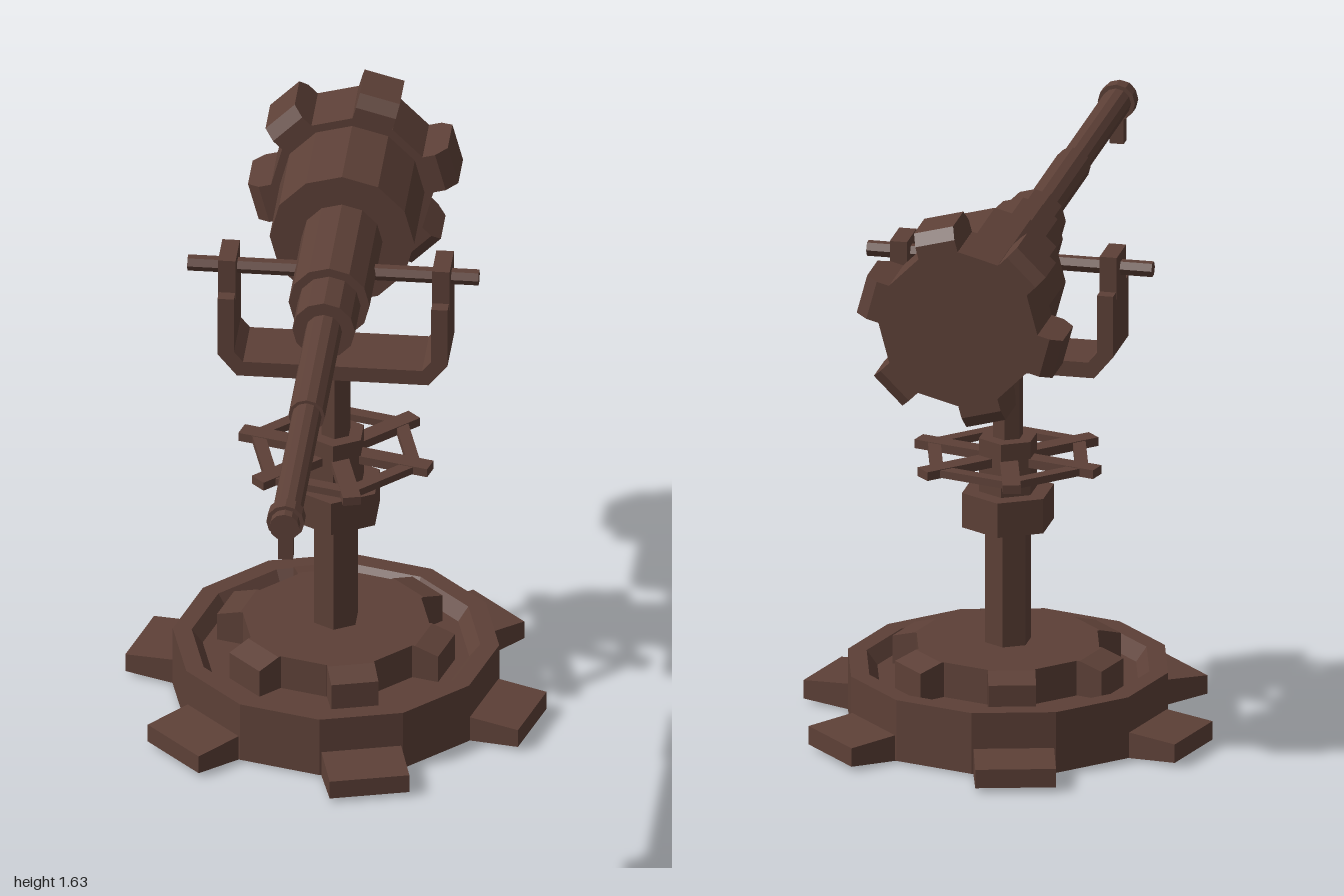
import * as THREE from 'three';

const brown = new THREE.MeshStandardMaterial({ color: 0x5d4037, flatShading: true });
brown.name = 'brown metal';
const AXIS_Z = -0.39; // the pedestal stands towards the back
const GUN_Y = 1.342;  // height of the barrel axis

function add(parent, name, geometry, x = 0, y = 0, z = 0) {
  const mesh = new THREE.Mesh(geometry, brown);
  mesh.name = name;
  mesh.position.set(x, y, z);
  parent.add(mesh);
  return mesh;
}

// Upright cylinder between two heights
function post(parent, name, radius, y0, y1, sides) {
  return add(parent, name, new THREE.CylinderGeometry(radius, radius, y1 - y0, sides), 0, (y0 + y1) / 2, 0);
}

// Outline extruded along z, centred
function slab(points, depth) {
  const shape = new THREE.Shape(points.map(([x, y]) => new THREE.Vector2(x, y)));
  return new THREE.ExtrudeGeometry(shape, { depth, bevelEnabled: false }).translate(0, 0, -depth / 2);
}

// Six copies around the y axis of a profile given as (radius, height)
function sixAround(parent, name, profile, width, startDegrees) {
  const geometry = slab(profile, width);
  for (let i = 0; i < 6; i++) {
    add(parent, name, geometry).rotation.y = THREE.MathUtils.degToRad(startDegrees + i * 60);
  }
}

function createBase() {
  const base = new THREE.Group();
  base.name = 'base';
  // Dished twelve-sided drum
  const rim = [[0, 0.005], [0.447, 0.005], [0.447, 0.18], [0.395, 0.18], [0.365, 0.14], [0, 0.14]];
  add(base, 'baseDrum', new THREE.LatheGeometry(rim.map(([r, y]) => new THREE.Vector2(r, y)), 12));
  sixAround(base, 'baseTooth', [[0.38, 0], [0.572, 0.012], [0.572, 0.065], [0.43, 0.077], [0.38, 0.077]], 0.22, -15);
  // Inner gear
  post(base, 'innerGear', 0.255, 0.13, 0.24, 12);
  sixAround(base, 'innerGearTooth', [[0.2, 0.13], [0.322, 0.13], [0.322, 0.22], [0.255, 0.24], [0.2, 0.24]], 0.13, -15);
  return base;
}

function createPedestal() {
  const pedestal = new THREE.Group();
  pedestal.name = 'pedestal';
  post(pedestal, 'lowerColumn', 0.065, 0.2, 0.58, 6);
  post(pedestal, 'collar', 0.131, 0.578, 0.677, 6);
  post(pedestal, 'neck', 0.083, 0.677, 0.83, 6);
  post(pedestal, 'upperPost', 0.043, 0.83, 1.06, 6);

  // Hand wheel: six spokes joined by a hexagonal rim
  sixAround(pedestal, 'wheelSpoke', [[0.03, 0.756], [0.275, 0.756], [0.275, 0.781], [0.03, 0.781]], 0.05, -15);
  sixAround(pedestal, 'wheelRim', [[0.18, 0.758], [0.215, 0.758], [0.215, 0.779], [0.18, 0.779]], 0.235, 15);
  return pedestal;
}

function createYoke() {
  const yoke = new THREE.Group();
  yoke.name = 'yoke';
  const right = [[0.245, 1.09], [0.27, 1.12], [0.27, 1.285], [0.315, 1.285], [0.315, 1.11], [0.262, 1.046]];
  const left = right.map(([x, y]) => [-x, y]).reverse();
  add(yoke, 'yokeFork', slab([...right, ...left], 0.187));
  for (const side of [-1, 1]) {
    add(yoke, 'axleLug', new THREE.BoxGeometry(0.048, 0.12, 0.115), side * 0.293, 1.325, 0);
  }
  add(yoke, 'axle', new THREE.CylinderGeometry(0.022, 0.022, 0.797, 6).rotateZ(Math.PI / 2), -0.007, 1.34, 0);
  return yoke;
}

function createGun() {
  // Built upright, then turned so that +y points forwards
  const gun = new THREE.Group();
  gun.name = 'gun';
  const sections = [
    ['barrelTip', 0.041, 0.39, 1.0],
    ['barrel', 0.05, -0.07, 0.4],
    ['barrelSleeve', 0.086, -0.21, -0.06],
    ['receiver', 0.111, -0.56, -0.205],
    ['breech', 0.198, -0.84, -0.55],
    ['muzzleRing', 0.052, 0.93, 0.972],
  ];
  for (const [name, radius, z0, z1] of sections) post(gun, name, radius, z0, z1, 12);

  // Toothed rear wheel
  post(gun, 'rearWheel', 0.222, -1, -0.825, 12);
  sixAround(gun, 'rearWheelTooth', [
    [0.15, -1], [0.25, -1], [0.283, -0.978], [0.283, -0.852], [0.25, -0.825], [0.15, -0.825],
  ], 0.113, 15);

  // Block hanging under the muzzle
  add(gun, 'muzzleBlock', new THREE.BoxGeometry(0.04, 0.036, 0.09), 0, 0.95, 0.074);

  gun.rotation.x = Math.PI / 2;
  gun.position.y = GUN_Y;
  return gun;
}

export function createModel() {
  const model = new THREE.Group();
  model.name = 'mountedGun';
  for (const part of [createBase(), createPedestal(), createYoke()]) {
    part.position.z = AXIS_Z;
    model.add(part);
  }
  model.add(createGun());
  return model;
}
